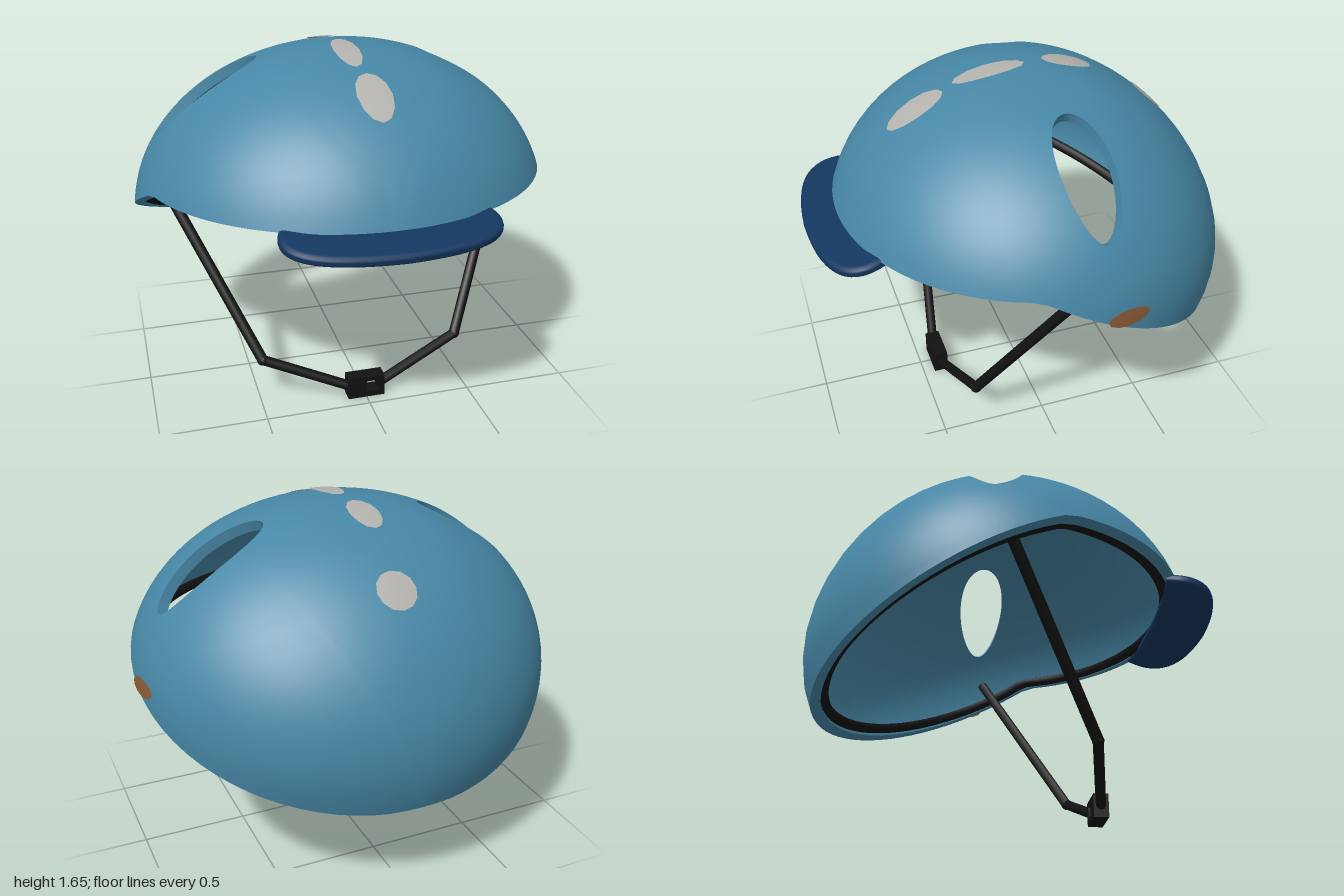
import * as THREE from 'three';
import { toCreasedNormals } from 'three/addons/utils/BufferGeometryUtils.js';

// Dome half-axes and centre
const AX = 1.0, AY = 0.79, AZ = 0.935, CY = 0.85, CZ = -0.06;
const WALL = 0.05;

const mat = (color) => new THREE.MeshStandardMaterial({ color });
const sag = (z) => -0.11 * Math.min(0, z - CZ) ** 2 / AZ; // the back sits a little lower
const rimY = (z) => Math.max(0.5, z > 0.18 ? 1.055 : 1.055 - 0.5 * (0.18 - z));

// Point on the dome at azimuth a (0 = front) and polar angle th, moved inwards by inset
function domePoint(a, th, inset = 0) {
  const z = CZ + (AZ - inset) * Math.cos(a) * Math.sin(th);
  const x = (AX - inset) * Math.sin(a) * Math.sin(th);
  return new THREE.Vector3(x, CY + (AY - inset) * Math.cos(th) + sag(z), z);
}

// Polar angle at which the dome meets the rim line
function rimAngle(a) {
  let lo = 0.5, hi = 2.6;
  for (let i = 0; i < 30; i++) {
    const mid = (lo + hi) / 2, p = domePoint(a, mid);
    if (p.y > rimY(p.z)) lo = mid; else hi = mid;
  }
  return lo;
}

// Unit disc (rim = circle of radius 1) to dome, and back from x, z
function discToDome(u, v, inset) {
  const a = Math.atan2(u, v);
  return domePoint(a, Math.hypot(u, v) * rimAngle(a), inset);
}
function topToDisc(x, z) {
  const sx = x / AX, sz = (z - CZ) / AZ, a = Math.atan2(sx, sz);
  const r = Math.asin(Math.min(1, Math.hypot(sx, sz))) / rimAngle(a);
  return [r * Math.sin(a), r * Math.cos(a)];
}

// One half of the shell: rings run between the oval vent and the half-disc outline
function halfShell(side) {
  const ARC = 40, LINE = 28, STEPS = 13, N = ARC + LINE;
  const vent = { x: 0.63, z: -0.12, rx: 0.245, rz: 0.125 };
  const [cu, cv] = topToDisc(vent.x, vent.z);
  const outer = [], hole = [];
  for (let j = 0; j < N; j++) {
    const b = Math.PI * j / ARC;
    const p = j < ARC
      ? [j === 0 ? 0 : Math.sin(b), -Math.cos(b)]
      : [0, 1 - 2 * (j - ARC) / LINE];
    const e = Math.atan2(p[1] - cv, p[0] - cu);
    outer.push(p);
    hole.push(topToDisc(vent.x + vent.rx * Math.cos(e), vent.z + vent.rz * Math.sin(e)));
  }
  const pos = [], idx = [];
  const addRow = (t, inset) => {
    for (let j = 0; j < N; j++) {
      const u = hole[j][0] + (outer[j][0] - hole[j][0]) * t;
      const v = hole[j][1] + (outer[j][1] - hole[j][1]) * t;
      const p = discToDome(u, v, inset);
      pos.push(p.x * side, p.y, p.z);
    }
  };
  // inner rim -> inner vent edge -> outer vent edge -> outer rim
  for (let i = STEPS; i >= 0; i--) addRow((i / STEPS) ** 1.2, WALL);
  for (let i = 0; i <= STEPS; i++) addRow((i / STEPS) ** 1.2, 0);
  const rows = 2 * STEPS + 2;
  for (let i = 0; i < rows; i++) {
    const last = i === rows - 1; // rim edge closes back to the first row, along the arc only
    for (let j = 0; j < (last ? ARC : N); j++) {
      const k = (j + 1) % N, n = last ? 0 : i + 1;
      const a = i * N + j, b = i * N + k, c = n * N + j, d = n * N + k;
      if (side > 0) idx.push(a, b, c, b, d, c);
      else idx.push(a, c, b, b, c, d);
    }
  }
  return { pos, idx };
}

function shellGeometry() {
  const l = halfShell(1), r = halfShell(-1), offset = l.pos.length / 3;
  const g = new THREE.BufferGeometry();
  g.setAttribute('position', new THREE.Float32BufferAttribute(l.pos.concat(r.pos), 3));
  g.setIndex(l.idx.concat(r.idx.map((i) => i + offset)));
  return toCreasedNormals(g, 0.8);
}

// Thin patch laid on the dome; place(u, v) gives a point for a unit-disc position
function patchGeometry(place) {
  const g = new THREE.RingGeometry(0.001, 1, 12, 4), p = g.attributes.position;
  for (let i = 0; i < p.count; i++) {
    const q = place(p.getX(i), p.getY(i));
    p.setXYZ(i, q.x, q.y, q.z);
  }
  g.computeVertexNormals();
  return g;
}

export function createModel() {
  const group = new THREE.Group();
  const blue = mat(0x4787a6), navy = mat(0x13375f), black = mat(0x121212);
  const cream = mat(0xb4b2ac), orange = mat(0x8a5a35);
  cream.side = orange.side = THREE.DoubleSide;
  const add = (name, geometry, material, parent = group) => {
    const m = new THREE.Mesh(geometry, material);
    m.name = name;
    parent.add(m);
    return m;
  };

  add('shell', shellGeometry(), blue);

  // Pale patches along the crown: x, z, half width, half length
  [[0.01, -0.68, 0.09, 0.07], [-0.03, -0.28, 0.07, 0.12], [-0.01, 0.1, 0.06, 0.17], [0.02, 0.45, 0.08, 0.13]]
    .forEach(([x, z, w, l]) => add('crownPatch', patchGeometry((u, v) => {
      const px = x + u * w, pz = z - v * l;
      const h = Math.sqrt(1 - (px / AX) ** 2 - ((pz - CZ) / AZ) ** 2);
      return new THREE.Vector3(px, CY + AY * h + sag(pz) + 0.006, pz);
    }), cream));

  // Worn patch at the left rim
  add('sidePatch', patchGeometry((u, v) => {
    const z = -0.19 - u * 0.1, y = 0.925 + v * 0.04;
    const h = 1 - ((y - CY - sag(z)) / AY) ** 2 - ((z - CZ) / AZ) ** 2;
    return new THREE.Vector3(AX * Math.sqrt(h) + 0.005, y, z);
  }), orange);

  // Dark band inside the rim
  const bandPoints = [];
  for (let i = 0; i < 48; i++) {
    const a = i / 48 * Math.PI * 2;
    bandPoints.push(domePoint(a, rimAngle(a) * 0.975, WALL + 0.02));
  }
  const bandCurve = new THREE.CatmullRomCurve3(bandPoints, true);
  add('rimBand', new THREE.TubeGeometry(bandCurve, 96, 0.027, 6, true), black);

  // Visor: crescent slab with rounded edges, tilted down to the front
  const peak = new THREE.Shape();
  peak.moveTo(-0.44, -0.12);
  peak.bezierCurveTo(-0.5, 0.02, -0.4, 0.12, 0, 0.13);
  peak.bezierCurveTo(0.4, 0.12, 0.5, 0.02, 0.44, -0.12);
  peak.quadraticCurveTo(0, -0.06, -0.44, -0.12);
  const visorGeo = new THREE.ExtrudeGeometry(peak, {
    depth: 0.012, bevelThickness: 0.018, bevelSize: 0.025, bevelSegments: 3, curveSegments: 14,
  });
  visorGeo.translate(0, 0, -0.006);
  const visor = add('visor', toCreasedNormals(visorGeo, 0.9), navy);
  visor.rotation.x = Math.PI / 2 + 0.2;
  visor.position.set(0, 1.02, 0.84);

  // Chin straps: two straight runs each, with a rounded joint
  const rod = (name, a, b, r, parent) => {
    const m = add(name, new THREE.CylinderGeometry(r, r, a.distanceTo(b), 8), black, parent);
    m.position.copy(a).lerp(b, 0.5);
    m.quaternion.setFromUnitVectors(new THREE.Vector3(0, 1, 0), b.clone().sub(a).normalize());
  };
  for (const s of [1, -1]) {
    const strap = new THREE.Group();
    strap.name = s > 0 ? 'leftStrap' : 'rightStrap';
    const top = new THREE.Vector3(s * 0.875, 1.04, -0.09);
    const bend = new THREE.Vector3(s * 0.485, 0.22, 0.335);
    const end = new THREE.Vector3(s * 0.08, 0.055, 0.41);
    rod('upperStrap', top, bend, 0.026, strap);
    rod('lowerStrap', bend, end, 0.024, strap);
    add('strapJoint', new THREE.SphereGeometry(0.027, 10, 8), black, strap).position.copy(bend);
    group.add(strap);
  }

  // Buckle with an open slot
  const plate = new THREE.Shape();
  plate.moveTo(-0.09, 0).lineTo(0.09, 0).lineTo(0.09, 0.11).lineTo(-0.09, 0.11).closePath();
  const slot = new THREE.Path();
  slot.moveTo(0, 0.032).lineTo(0, 0.086).lineTo(0.062, 0.086).lineTo(0.062, 0.032).closePath();
  plate.holes.push(slot);
  const buckle = add('buckle', new THREE.ExtrudeGeometry(plate, { depth: 0.07, bevelEnabled: false }), black);
  buckle.position.z = 0.375;

  return group;
}
